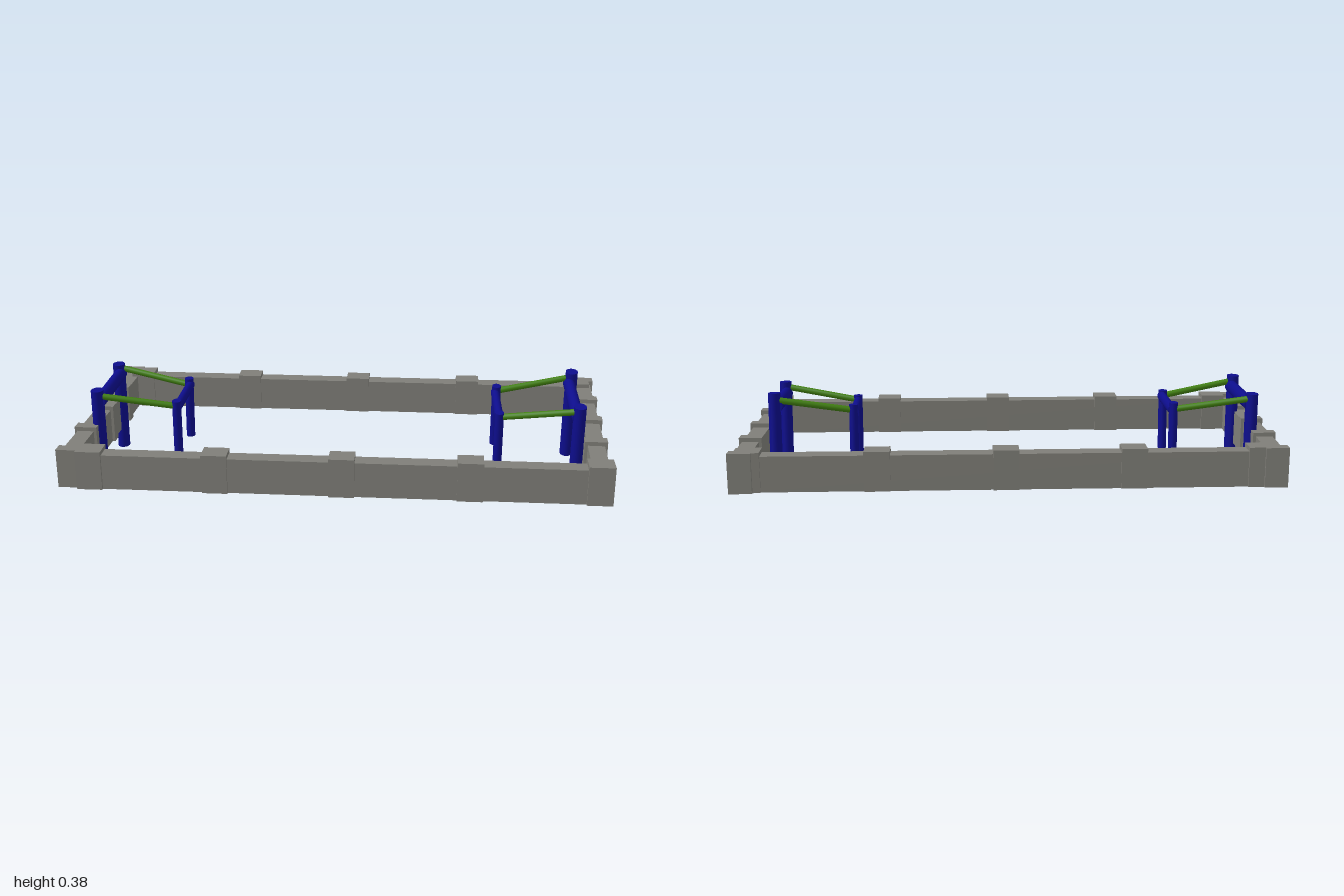
import * as THREE from 'three';

const stone = new THREE.MeshStandardMaterial({ color: 0x7f7e78 });
stone.name = 'stone grey';
const blue = new THREE.MeshStandardMaterial({ color: 0x0d0d8c });
blue.name = 'navy blue';
const green = new THREE.MeshStandardMaterial({ color: 0x418010 });
green.name = 'green';

const BASE = 0.095, WALL_TOP = 0.225, POST_TOP = 0.24;
const SQUASH = 0.8; // goal tubes are slightly narrower along x

// Straight wall between two [x, z] points with evenly spaced posts
function wall(name, a, b, postLength, postDepth) {
  const group = new THREE.Group();
  group.name = name;
  const dx = b[0] - a[0], dz = b[1] - a[1];
  const length = Math.hypot(dx, dz);
  group.position.set((a[0] + b[0]) / 2, 0, (a[1] + b[1]) / 2);
  group.rotation.y = Math.atan2(-dz, dx);

  const box = (label, l, top, depth, x) => {
    const mesh = new THREE.Mesh(new THREE.BoxGeometry(l, top - BASE, depth), stone);
    mesh.name = label;
    mesh.position.set(x, (top + BASE) / 2, 0);
    group.add(mesh);
  };
  box('wallBeam', length, WALL_TOP, 0.062, 0);
  for (let i = 0; i < 5; i++) {
    box('wallPost', postLength, POST_TOP, postDepth, (i / 4 - 0.5) * length);
  }
  return group;
}

// Cylinder between two points, squashed along x
function tube(name, from, to, radius, material) {
  const a = new THREE.Vector3(from[0] / SQUASH, from[1], from[2]);
  const b = new THREE.Vector3(to[0] / SQUASH, to[1], to[2]);
  const dir = b.clone().sub(a);
  const mesh = new THREE.Mesh(new THREE.CylinderGeometry(radius, radius, dir.length(), 16), material);
  mesh.name = name;
  mesh.position.copy(a).add(b).multiplyScalar(0.5);
  mesh.quaternion.setFromUnitVectors(new THREE.Vector3(0, 1, 0), dir.normalize());
  return mesh;
}

// Goal: two tall posts, two short posts, a crossbar on each pair, green side rods
function goal(name, { tall, short, bars, lowBars, rods }) {
  const group = new THREE.Group();
  group.name = name;
  group.scale.x = SQUASH;
  for (const [a, b] of tall) group.add(tube('tallPost', a, b, 0.029, blue));
  for (const [a, b] of short) group.add(tube('shortPost', a, b, 0.021, blue));
  group.add(tube('crossbar', ...bars, 0.027, blue));
  group.add(tube('lowCrossbar', ...lowBars, 0.02, blue));
  for (const [a, b] of rods) group.add(tube('sideRod', a, b, 0.012, green));
  return group;
}

export function createModel() {
  const model = new THREE.Group();
  model.name = 'playingField';

  // Boundary walls; the short ones are slightly skewed
  model.add(
    wall('frontWall', [-0.882, 0.435], [0.935, 0.435], 0.092, 0.08),
    wall('backWall', [-0.882, -0.431], [0.935, -0.431], 0.092, 0.076),
    wall('rightWall', [-0.935, -0.457], [-0.959, 0.44], 0.044, 0.083),
    wall('leftWall', [0.958, -0.457], [0.934, 0.44], 0.044, 0.083),
  );

  // Goal at the -x end, upright
  model.add(goal('rightGoal', {
    tall: [
      [[-0.914, 0.017, 0.183], [-0.914, 0.37, 0.183]],
      [[-0.914, 0.017, -0.143], [-0.914, 0.365, -0.143]],
    ],
    short: [
      [[-0.626, 0.085, 0.135], [-0.624, 0.32, 0.14]],
      [[-0.626, 0.085, -0.1], [-0.624, 0.325, -0.105]],
    ],
    bars: [[-0.907, 0.325, 0.19], [-0.907, 0.325, -0.15]],
    lowBars: [[-0.62, 0.297, 0.145], [-0.62, 0.297, -0.11]],
    rods: [
      [[-0.91, 0.347, 0.185], [-0.62, 0.298, 0.14]],
      [[-0.91, 0.347, -0.15], [-0.62, 0.298, -0.105]],
    ],
  }));

  // Goal at the +x end, leaning a little
  model.add(goal('leftGoal', {
    tall: [
      [[0.878, 0.005, 0.163], [0.878, 0.358, 0.19]],
      [[0.876, 0.03, -0.161], [0.876, 0.382, -0.135]],
    ],
    short: [
      [[0.589, 0.073, 0.131], [0.589, 0.31, 0.146]],
      [[0.587, 0.083, -0.115], [0.587, 0.328, -0.1]],
    ],
    bars: [[0.873, 0.311, 0.19], [0.867, 0.335, -0.15]],
    lowBars: [[0.59, 0.286, 0.15], [0.582, 0.298, -0.11]],
    rods: [
      [[0.878, 0.338, 0.19], [0.59, 0.292, 0.145]],
      [[0.875, 0.357, -0.142], [0.588, 0.307, -0.103]],
    ],
  }));

  return model;
}
